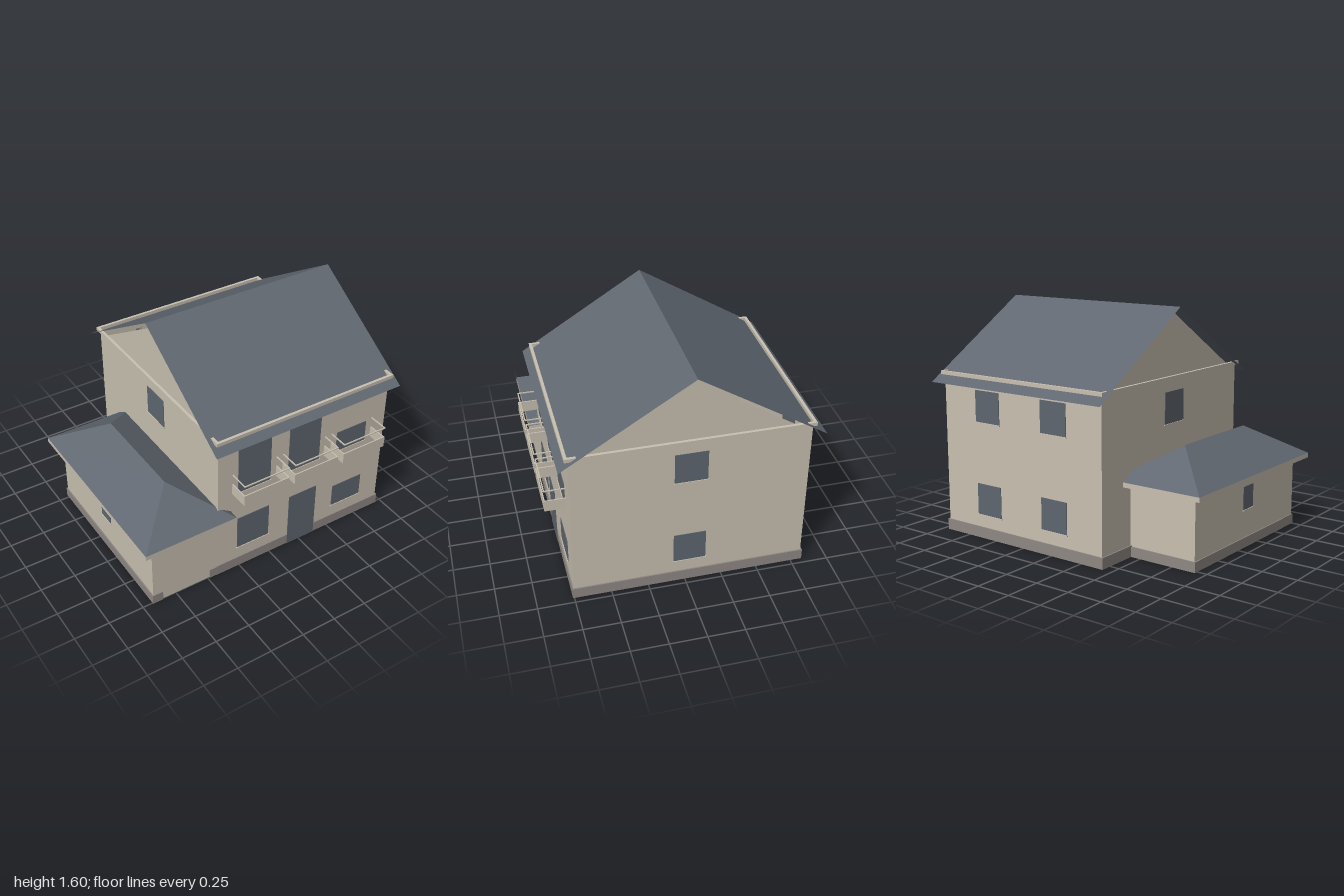
import * as THREE from 'three';

export function createModel() {
  const model = new THREE.Group();
  model.name = 'house';

  const material = (name, color, side = THREE.DoubleSide) => {
    const m = new THREE.MeshStandardMaterial({ color, side });
    m.name = name;
    return m;
  };
  const wall = material('plaster', 0xc8c0b1);
  const plinth = material('plinth stone', 0x8f8884);
  const slate = material('roof slate', 0x606770);
  const glass = material('dark glass', 0x5f666f);

  const add = (name, geometry, mat, parent = model) => {
    const mesh = new THREE.Mesh(geometry, mat);
    mesh.name = name;
    parent.add(mesh);
    return mesh;
  };

  // Box given by its limits
  const box = (name, x0, x1, y0, y1, z0, z1, mat, parent) => {
    const g = new THREE.BoxGeometry(x1 - x0, y1 - y0, z1 - z0);
    g.translate((x0 + x1) / 2, (y0 + y1) / 2, (z0 + z1) / 2);
    return add(name, g, mat, parent);
  };

  // Flat convex faces, each a loop of corners
  const faces = (name, loops, mat) => {
    const p = [];
    for (const l of loops)
      for (let i = 1; i < l.length - 1; i++) p.push(...l[0], ...l[i], ...l[i + 1]);
    const g = new THREE.BufferGeometry();
    g.setAttribute('position', new THREE.Float32BufferAttribute(p, 3));
    g.computeVertexNormals();
    return add(name, g, mat);
  };

  // Upright sheets along a path of [x, z] points, anticlockwise from above
  const sheets = (name, path, y0, y1, mat) =>
    faces(name, path.slice(1).map(([x, z], i) => {
      const [a, b] = path[i];
      return [[a, y0, b], [x, y0, z], [x, y1, z], [a, y1, b]];
    }), mat);

  // Rectangular ring of width t inside the given limits
  const ring = (name, x0, x1, z0, z1, t, y0, y1, mat) => {
    const rect = (P, d) => new P([
      [x0 + d, z0 + d], [x1 - d, z0 + d], [x1 - d, z1 - d], [x0 + d, z1 - d],
    ].map(([x, z]) => new THREE.Vector2(x, -z)));
    const shape = rect(THREE.Shape, 0);
    shape.holes.push(rect(THREE.Path, t));
    const g = new THREE.ExtrudeGeometry(shape, { depth: y1 - y0, bevelEnabled: false });
    g.rotateX(-Math.PI / 2).translate(0, y0, 0);
    return add(name, g, mat);
  };

  // Main house: open shell, gables, plinth and eaves moulding
  const X0 = -0.42, X1 = 0.95, Z0 = -0.82, Z1 = 0.75, ridgeZ = -0.035;
  sheets('mainWalls', [[X0, Z1], [X1, Z1], [X1, Z0], [X0, Z0], [X0, Z1]], 0, 1.12, wall);
  for (const x of [X1, X0])
    faces('gable', [[[x, 1.12, 0.66], [x, 1.12, -0.73], [x, 1.555, ridgeZ]]], wall);
  ring('mainPlinth', X0 - 0.01, X1 + 0.01, Z0 - 0.01, Z1 + 0.01, 0.009, 0, 0.077, plinth);
  ring('eavesMoulding', X0 - 0.02, X1 + 0.02, Z0 - 0.02, Z1 + 0.02, 0.02, 1.115, 1.14, wall);

  // Main pitched roof
  const R0 = -0.47, R1 = 1;
  faces('mainRoof', [
    [[R0, 1.065, 0.815], [R1, 1.065, 0.815], [R1, 1.6, -0.04], [R0, 1.6, -0.04]],
    [[R1, 1.065, -0.9], [R0, 1.065, -0.9], [R0, 1.6, -0.04], [R1, 1.6, -0.04]],
  ], slate);

  // Side wing with its broken plinth
  const W0 = -0.92, WB = -0.52;
  sheets('wingWalls', [[X0, WB], [W0, WB], [W0, Z1], [X0, Z1]], 0, 0.5, wall);
  box('wingPlinthBack', W0 - 0.008, X0, 0, 0.07, WB - 0.008, WB, plinth);
  box('wingPlinthSide', W0 - 0.008, W0, 0, 0.07, WB, Z1, plinth);
  box('wingPlinthFront', W0 - 0.008, -0.85, 0, 0.07, Z1, Z1 + 0.008, plinth);
  box('wingPlinthFront', -0.485, X0 - 0.01, 0, 0.07, Z1, Z1 + 0.008, plinth);

  // Wing hip roof and fascia
  const H0 = -1, H1 = -0.32, HB = -0.6, HF = 0.825, e = 0.52;
  ring('wingFascia', H0, H1, HB, HF, 0.08, 0.487, e, wall);
  const a = [H0, e, HF], b = [H1, e, HF], c = [H1, e, HB], d = [H0, e, HB];
  const front = [-0.66, 0.735, 0.485], back = [-0.66, 0.735, -0.255];
  faces('wingRoof', [[a, b, front], [b, c, back, front], [c, d, back], [d, a, front, back]], slate);

  // Openings: thin plate on a wall facing dir, with u along the wall
  const opening = (name, dir, at, u0, u1, y0, y1, sill = true) => {
    const plate = (n, p, q, lo, hi, depth, mat) => {
      const s = dir[1];
      const n0 = Math.min(at, at + s * depth), n1 = Math.max(at, at + s * depth);
      if (dir[0] === 'x') box(n, n0, n1, lo, hi, p, q, mat);
      else box(n, p, q, lo, hi, n0, n1, mat);
    };
    plate(name, u0, u1, y0, y1, 0.004, glass);
    if (sill) plate('windowSill', u0 - 0.006, u1 + 0.006, y0 - 0.008, y0, 0.009, wall);
  };
  const F = ['z', 1], B = ['z', -1], R = ['x', -1], L = ['x', 1];
  opening('frontWindow', F, Z1, -0.265, -0.01, 0.167, 0.425);
  opening('frontWindow', F, Z1, 0.535, 0.785, 0.167, 0.34);
  opening('frontDoor', F, Z1 + 0.01, 0.15, 0.378, 0, 0.427, false);
  opening('balconyDoor', F, Z1, -0.265, -0.01, 0.655, 1.035);
  opening('balconyDoor', F, Z1, 0.135, 0.39, 0.655, 1.035);
  opening('balconyWindow', F, Z1, 0.535, 0.785, 0.655, 0.815);
  for (const y of [0.167, 0.817]) {
    opening('leftWindow', L, X1, -0.14, 0.078, y, y + 0.218);
    opening('backWindow', B, Z0, 0.447, 0.662, y, y + 0.218);
    opening('backWindow', B, Z0, -0.133, 0.083, y, y + 0.218);
  }
  opening('rightWindow', R, X0, -0.14, 0.078, 0.817, 1.035);
  opening('wingWindow', R, W0, 0.06, 0.185, 0.265, 0.425);

  // Balconies: U-shaped parapet with a thin rail above
  for (const x of [-0.31, 0.087, 0.487]) {
    const balcony = new THREE.Group();
    balcony.name = 'balcony';
    model.add(balcony);
    const w = 0.353, zf = 0.892;
    for (const [name, y0, y1, t] of [['parapet', 0.665, 0.745, 0.008], ['handrail', 0.816, 0.823, 0.008]]) {
      box(name + 'Front', x, x + w, y0, y1, zf - t, zf, wall, balcony);
      box(name + 'Side', x, x + t, y0, y1, Z1, zf - t, wall, balcony);
      box(name + 'Side', x + w - t, x + w, y0, y1, Z1, zf - t, wall, balcony);
    }
  }
  return model;
}
